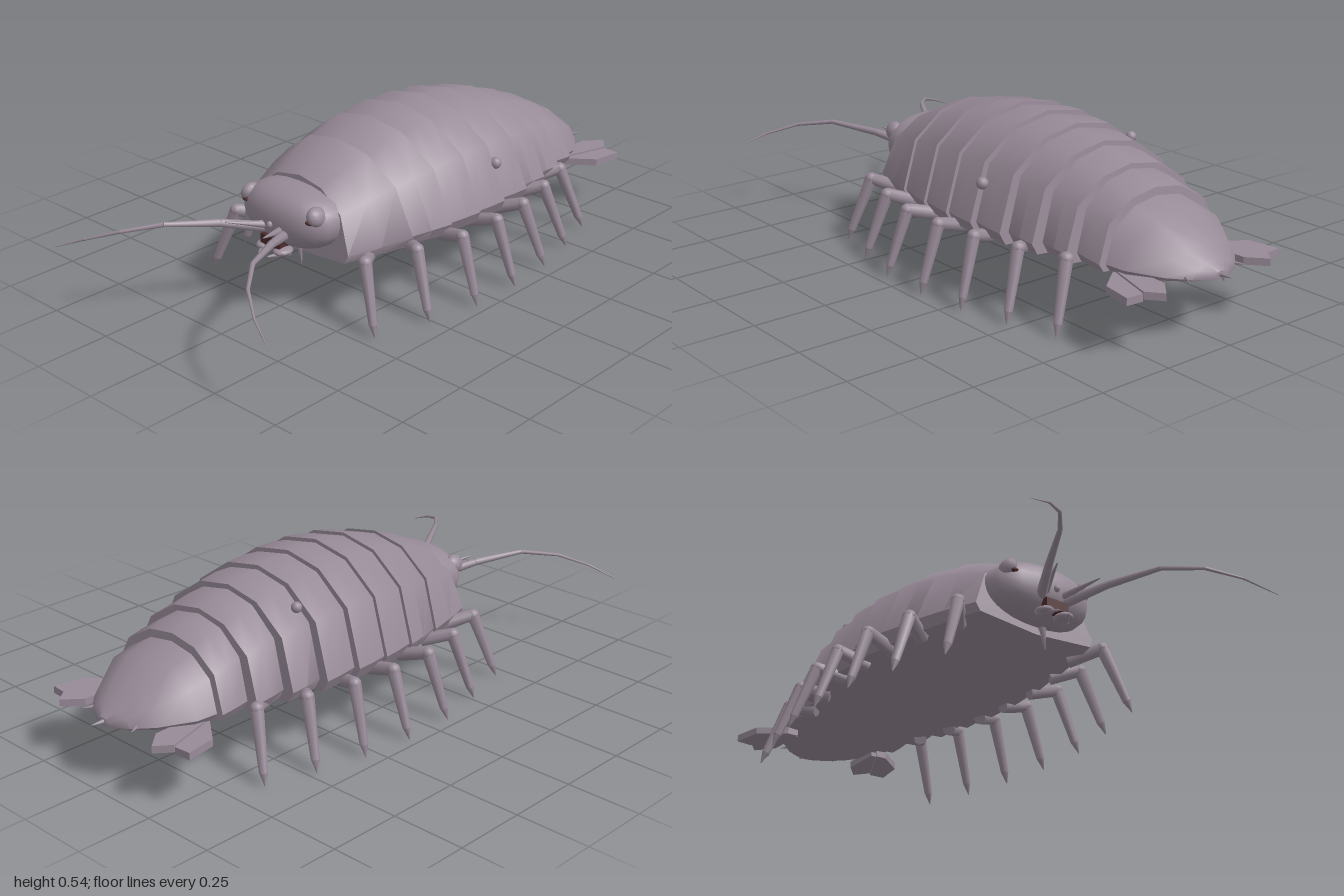
import * as THREE from 'three';
import { toCreasedNormals } from 'three/addons/utils/BufferGeometryUtils.js';

const V = (x, y, z) => new THREE.Vector3(x, y, z);

export function createModel() {
  const model = new THREE.Group();
  const shell = new THREE.MeshStandardMaterial({ color: 0x978a97 });
  shell.name = 'mauve shell';
  const maroon = new THREE.MeshStandardMaterial({ color: 0x4c2a2c });
  maroon.name = 'dark maroon';

  function add(name, geometry, material = shell, parent = model) {
    const mesh = new THREE.Mesh(geometry, material);
    mesh.name = name;
    parent.add(mesh);
    return mesh;
  }

  // Arched cross-section, counter-clockwise seen from the front
  const half = [[0.93, 0], [0.99, 0.12], [0.79, 0.65], [0.41, 0.925]];
  const arch = [...half, [0, 1], ...half.map(([x, y]) => [-x, y]).reverse(), [0, -0.08]];
  const BASE = 0.2;

  // Closed loft through rings [z, halfWidth, height, z shift of the lower edge]
  function loft(rings) {
    const pos = [], idx = [], n = arch.length;
    for (const [z, w, h, shift] of rings) {
      for (const [u, v] of arch) pos.push(u * w, BASE + v * h, z + shift * (1 - Math.max(v, 0)));
    }
    for (let i = 0; i < rings.length - 1; i++) {
      for (let j = 0; j < n; j++) {
        const a = i * n + j, b = i * n + (j + 1) % n, c = b + n, d = a + n;
        idx.push(a, c, b, a, d, c);
      }
    }
    const last = (rings.length - 1) * n, mid = rings.length * n;
    for (const r of [rings[0], rings[rings.length - 1]]) pos.push(0, BASE + r[2] * 0.4, r[0] + r[3] * 0.6);
    for (let j = 0; j < n; j++) {
      const k = (j + 1) % n;
      idx.push(mid, j, k, mid + 1, last + k, last + j);
    }
    const g = new THREE.BufferGeometry();
    g.setAttribute('position', new THREE.Float32BufferAttribute(pos, 3));
    g.setIndex(idx);
    return toCreasedNormals(g, 0.8);
  }

  // Tapered limb between two points
  function limb(name, a, b, ra, rb, parent = model, sides = 7) {
    const dir = b.clone().sub(a);
    const g = new THREE.CylinderGeometry(rb, ra, dir.length(), sides);
    const mesh = add(name, g, shell, parent);
    mesh.position.copy(a).add(b).multiplyScalar(0.5);
    mesh.quaternion.setFromUnitVectors(V(0, 1, 0), dir.normalize());
    return mesh;
  }

  function ball(name, p, r, material = shell, parent = model) {
    const mesh = add(name, new THREE.SphereGeometry(1, 12, 8), material, parent);
    mesh.position.copy(p);
    mesh.scale.copy(r);
    return mesh;
  }

  // Overlapping back plates: rear edge [z, halfWidth, height]
  const edges = [
    [0.40, 0.25, 0.24], [0.228, 0.305, 0.3], [0.074, 0.335, 0.333], [-0.058, 0.345, 0.345],
    [-0.185, 0.345, 0.341], [-0.317, 0.334, 0.326], [-0.444, 0.311, 0.298],
    [-0.566, 0.281, 0.254], [-0.677, 0.25, 0.207],
  ];
  for (let i = 1; i < edges.length; i++) {
    const [z0, w0, h0] = edges[i - 1], [z1, w1, h1] = edges[i];
    const wf = Math.min(w0, w1) - 0.014, hf = h0 - 0.014;
    const first = i === 1;
    const zf = first ? z0 : z0 + 0.012;
    add('backPlate' + i, loft([
      [zf, wf, hf, first ? 0.03 : -0.028],
      [(z0 + z1) / 2, (wf + w1) / 2 + 0.004, (hf + h1) / 2 + 0.006, first ? 0 : -0.028],
      [z1, w1, h1, -0.028],
    ]));
  }

  // Tail shield and its small spines
  add('tailShield', loft([
    [-0.65, 0.232, 0.19, 0], [-0.77, 0.216, 0.158, 0], [-0.87, 0.15, 0.088, 0],
    [-0.925, 0.09, 0.046, 0], [-0.953, 0.03, 0.022, 0],
  ]));
  limb('tailSpine', V(0, 0.21, -0.94), V(0, 0.212, -0.995), 0.009, 0.001);

  // Head: sphere squared off toward a blunt front
  const headGeo = new THREE.SphereGeometry(1, 20, 14);
  const hp = headGeo.attributes.position;
  const soft = (v, e) => Math.sign(v) * Math.pow(Math.abs(v), e);
  for (let i = 0; i < hp.count; i++) {
    hp.setXYZ(i, soft(hp.getX(i), 0.85) * 0.192, soft(hp.getY(i), 0.9) * 0.1, soft(hp.getZ(i), 0.7) * 0.132);
  }
  headGeo.computeVertexNormals();
  add('head', headGeo).position.set(0, 0.308, 0.4);

  // Mouth, brow bead and chin spine
  add('mouth', new THREE.BoxGeometry(0.085, 0.034, 0.04), maroon).position.set(0, 0.242, 0.515);
  ball('browBead', V(0, 0.3, 0.532), V(0.01, 0.012, 0.012));
  limb('chinSpine', V(0.022, 0.215, 0.43), V(0.032, 0.137, 0.43), 0.014, 0.001);

  for (const s of [1, -1]) {
    const side = s > 0 ? 'left' : 'right';

    // Eyes with a dark lower rim
    const eye = ball(side + 'Eye', V(s * 0.147, 0.352, 0.475), V(0.024, 0.032, 0.036));
    eye.rotation.z = s * 0.4;
    ball(side + 'EyeRim', V(s * 0.14, 0.336, 0.487), V(0.02, 0.009, 0.024), maroon);

    // Long antenna: thick base, then a thin curving whip
    const ant = new THREE.Group();
    ant.name = side + 'Antenna';
    model.add(ant);
    const path = [[0.045, 0.272, 0.51], [0.115, 0.305, 0.635], [0.2, 0.325, 0.79],
      [0.286, 0.308, 0.89], [0.38, 0.275, 0.955], [0.48, 0.232, 0.998]].map(([x, y, z]) => V(s * x, y, z));
    const radii = [0.018, 0.013, 0.008, 0.006, 0.004, 0.001];
    for (let i = 0; i < path.length - 1; i++) {
      limb('antennaSegment', path[i], path[i + 1], radii[i], radii[i + 1], ant);
    }
    limb(side + 'Antennule', V(s * 0.03, 0.285, 0.51), V(s * 0.085, 0.318, 0.64), 0.014, 0.002);

    // Feelers beside the mouth
    ball(side + 'Jaw', V(s * 0.038, 0.217, 0.515), V(0.03, 0.014, 0.035));
    limb(side + 'Palp', V(s * 0.055, 0.213, 0.5), V(s * 0.02, 0.207, 0.565), 0.014, 0.003);

    // Seven walking legs: [hip x, hip z, knee z, foot x, foot z]
    const legs = [
      [0.22, 0.32, 0.41, 0.368, 0.452], [0.26, 0.18, 0.235, 0.425, 0.262], [0.28, 0.045, 0.064, 0.465, 0.078],
      [0.28, -0.1, -0.107, 0.468, -0.113], [0.28, -0.23, -0.267, 0.45, -0.297],
      [0.25, -0.375, -0.433, 0.41, -0.472], [0.22, -0.51, -0.594, 0.358, -0.64],
    ];
    legs.forEach(([hx, hz, kz, fx, fz], i) => {
      const leg = new THREE.Group();
      leg.name = side + 'Leg' + (i + 1);
      model.add(leg);
      const hip = V(s * hx, 0.192, hz), knee = V(s * (fx - 0.078), 0.222, kz), foot = V(s * fx, 0.004, fz);
      const ankle = knee.clone().lerp(foot, 0.83);
      limb('thigh', hip, knee, 0.024, 0.021, leg);
      ball('knee', knee, V(0.022, 0.02, 0.022), shell, leg);
      limb('shin', knee, ankle, 0.022, 0.014, leg);
      limb('claw', ankle, foot, 0.013, 0.001, leg);
    });

    // Tail fans: two flat blades on each side
    const blades = [
      [[0.17, -0.72], [0.21, -0.72], [0.3, -0.79], [0.318, -0.895], [0.26, -0.9]],
      [[0.16, -0.74], [0.21, -0.74], [0.258, -0.9], [0.217, -0.95], [0.165, -0.89]],
    ];
    blades.forEach((pts, i) => {
      const shape = new THREE.Shape(pts.map(([x, z]) => new THREE.Vector2(s * x, z)));
      const g = new THREE.ExtrudeGeometry(shape, { depth: 0.024, bevelEnabled: false });
      g.rotateX(Math.PI / 2);
      add(side + 'TailFan' + (i + 1), g).position.y = 0.2 + i * 0.006;
    });
    limb(side + 'TailSpine', V(s * 0.09, 0.21, -0.89), V(s * 0.115, 0.21, -0.94), 0.009, 0.001);
  }

  // Two warts on the back
  ball('wart', V(0.295, 0.362, -0.212), V(0.02, 0.02, 0.02));
  ball('wart', V(-0.205, 0.452, -0.35), V(0.018, 0.018, 0.018));

  return model;
}
